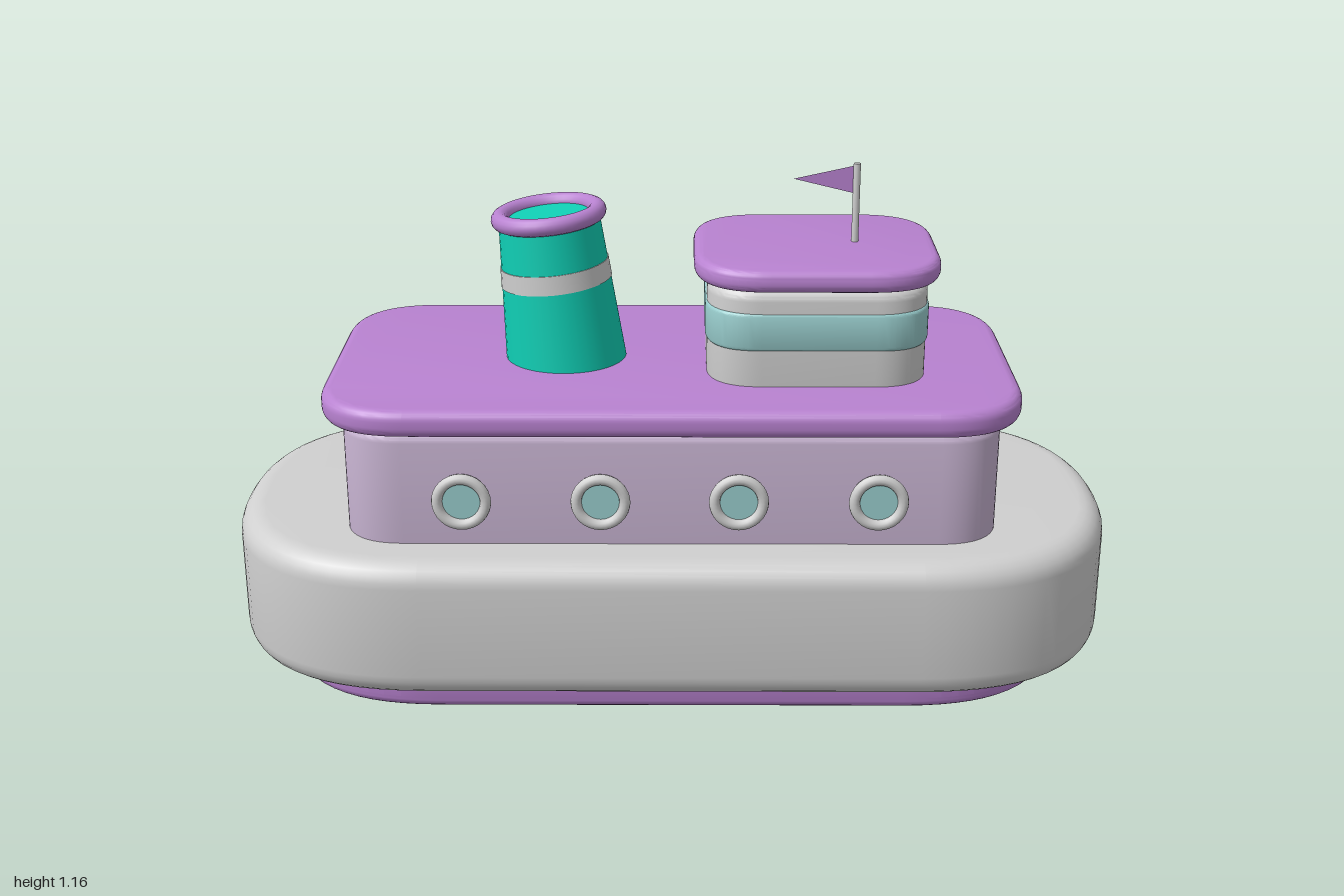
import * as THREE from 'three';
import { toCreasedNormals } from 'three/addons/utils/BufferGeometryUtils.js';

const paint = (name, color, extra = {}) => {
  const m = new THREE.MeshStandardMaterial({ color, ...extra });
  m.name = name;
  return m;
};

// Rounded rectangle slab lying flat, from y0 to y1, with softened rims
function slab(halfX, halfZ, radius, y0, y1, bevel) {
  const x = halfX - bevel, z = halfZ - bevel, r = radius - bevel;
  const s = new THREE.Shape();
  s.moveTo(-x + r, -z);
  s.lineTo(x - r, -z);
  s.quadraticCurveTo(x, -z, x, -z + r);
  s.lineTo(x, z - r);
  s.quadraticCurveTo(x, z, x - r, z);
  s.lineTo(-x + r, z);
  s.quadraticCurveTo(-x, z, -x, z - r);
  s.lineTo(-x, -z + r);
  s.quadraticCurveTo(-x, -z, -x + r, -z);
  const g = new THREE.ExtrudeGeometry(s, {
    depth: y1 - y0 - 2 * bevel, bevelEnabled: true, bevelSize: bevel,
    bevelThickness: bevel, bevelSegments: 6, curveSegments: 16,
  });
  g.translate(0, 0, bevel).rotateX(-Math.PI / 2).translate(0, y0, 0);
  return toCreasedNormals(g, 0.4);
}

export function createModel() {
  const white = paint('white', 0xcfcfcf);
  const purple = paint('purple', 0xb882d0);
  const lilac = paint('lilac', 0xc8b4d2);
  const teal = paint('teal', 0x10d0b6);
  const glass = paint('glass', 0x98cccc);
  const flagPurple = paint('flagPurple', 0xb882d0, { side: THREE.DoubleSide });

  const boat = new THREE.Group();
  boat.name = 'boat';
  const add = (name, geometry, material, parent = boat) => {
    const mesh = new THREE.Mesh(geometry, material);
    mesh.name = name;
    parent.add(mesh);
    return mesh;
  };

  // Hull, cabin and main roof
  add('keel', slab(0.895, 0.378, 0.375, 0, 0.12, 0.03), purple);
  add('hull', slab(1, 0.46, 0.455, 0.07, 0.39, 0.055), white);
  add('cabin', slab(0.725, 0.336, 0.14, 0.34, 0.65, 0.025), lilac);
  add('cabinRoof', slab(0.77, 0.382, 0.2, 0.652, 0.714, 0.024), purple);

  // Portholes along both sides
  for (const side of [1, -1]) {
    for (const x of [-0.455, -0.153, 0.147, 0.45]) {
      const porthole = new THREE.Group();
      porthole.name = 'porthole';
      porthole.position.set(x, 0.495, side * 0.336);
      if (side < 0) porthole.rotation.y = Math.PI;
      add('portholeRim', new THREE.TorusGeometry(0.053, 0.012, 12, 32), white, porthole).position.z = 0.013;
      const pane = add('portholeGlass', new THREE.CylinderGeometry(0.05, 0.05, 0.009, 32), glass, porthole);
      pane.rotation.x = Math.PI / 2;
      pane.position.z = 0.006;
      boat.add(porthole);
    }
  }

  // Wheelhouse with a window band all round
  const wheelhouse = new THREE.Group();
  wheelhouse.name = 'wheelhouse';
  wheelhouse.position.x = 0.321;
  add('wheelhouseBody', slab(0.243, 0.22, 0.12, 0.67, 0.932, 0.025), white, wheelhouse);
  add('windowBand', slab(0.247, 0.224, 0.122, 0.795, 0.882, 0.01), glass, wheelhouse);
  add('wheelhouseRoof', slab(0.272, 0.244, 0.165, 0.932, 0.982, 0.02), purple, wheelhouse);
  boat.add(wheelhouse);

  // Flagpole and pennant
  add('flagpole', new THREE.CylinderGeometry(0.008, 0.008, 0.2, 16), white).position.set(0.41, 1.06, 0);
  const pennant = new THREE.Shape([[0.406, 1.155], [0.27, 1.125], [0.406, 1.092]].map(p => new THREE.Vector2(...p)));
  add('pennant', new THREE.ShapeGeometry(pennant), flagPurple);

  // Leaning funnel
  const funnel = new THREE.Group();
  funnel.name = 'funnel';
  funnel.position.set(-0.24, 0.69, 0);
  funnel.rotation.z = 0.1;
  const height = 0.355;
  const radiusAt = h => 0.138 - 0.025 * h / height;
  const ring = (name, h0, h1, grow, material) =>
    add(name, new THREE.CylinderGeometry(radiusAt(h1) + grow, radiusAt(h0) + grow, h1 - h0, 40), material, funnel)
      .position.y = (h0 + h1) / 2;
  ring('funnelBody', 0, height, 0, teal);
  ring('funnelStripe', 0.203, 0.246, 0.002, white);
  const rim = add('funnelRim', new THREE.TorusGeometry(0.11, 0.02, 14, 40), purple, funnel);
  rim.rotation.x = Math.PI / 2;
  rim.position.y = height;
  boat.add(funnel);

  return boat;
}
